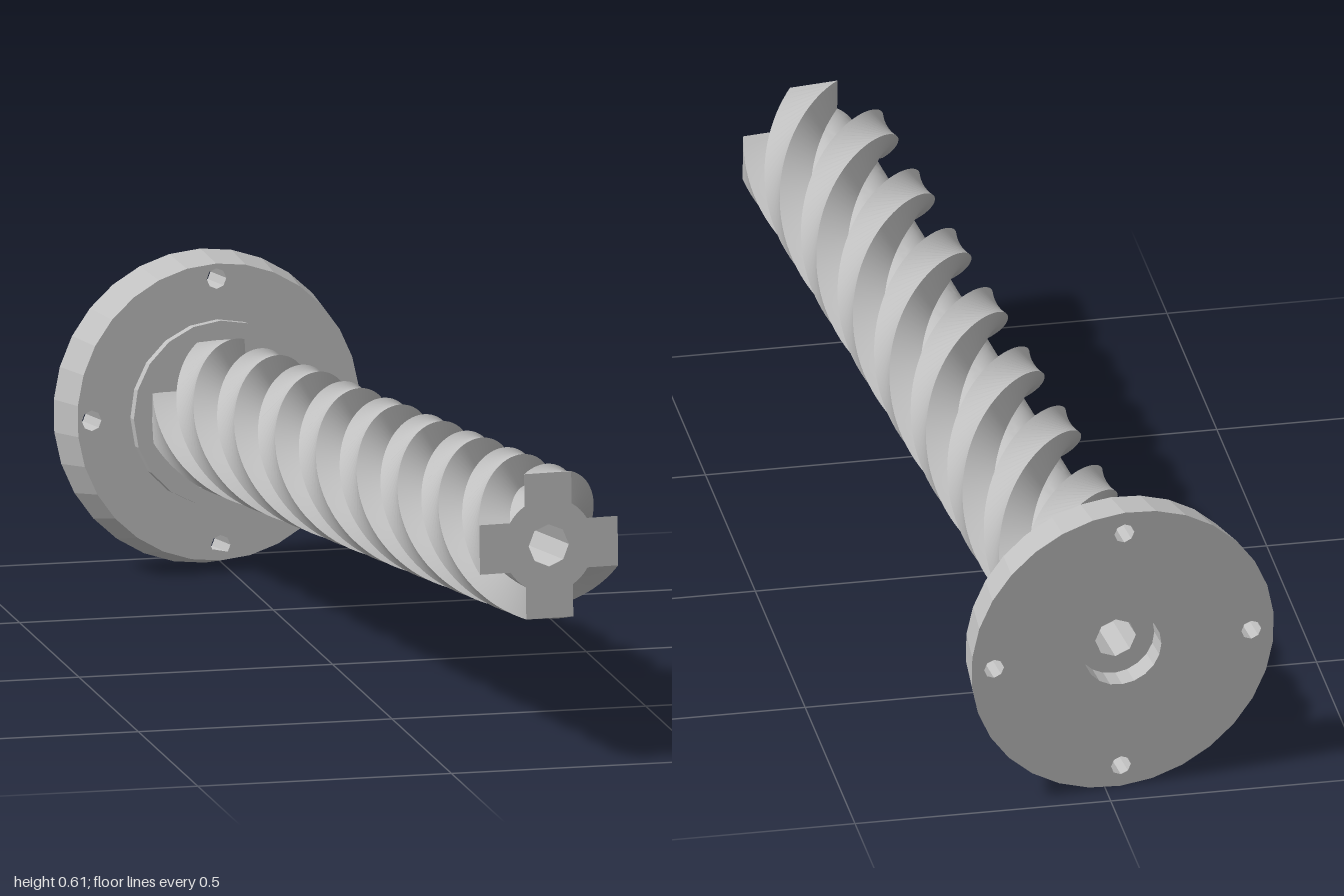
import * as THREE from 'three';
import { toCreasedNormals } from 'three/addons/utils/BufferGeometryUtils.js';

const LENGTH = 1.961;      // back of flange to shaft tip
const FLANGE = 0.09;       // flange thickness
const BOSS = 0.02;         // raised ring height
const BORE_START = 0.045;  // depth of the counterbore

// Regular polygon points around (cx, cy)
function ring(r, n, cx = 0, cy = 0) {
  return Array.from({ length: n }, (_, i) => {
    const a = (i / n) * Math.PI * 2 + Math.PI / 2;
    return new THREE.Vector2(cx + r * Math.cos(a), cy + r * Math.sin(a));
  });
}

function extrude(outline, holes, depth, z, steps = 1) {
  const shape = new THREE.Shape(outline);
  shape.holes = holes.map((h) => new THREE.Path(h));
  const geo = new THREE.ExtrudeGeometry(shape, { depth, steps, bevelEnabled: false });
  return geo.translate(0, 0, z);
}

// Move every vertex by a rule
function deform(geo, rule) {
  const p = geo.attributes.position;
  const v = new THREE.Vector3();
  for (let i = 0; i < p.count; i++) {
    rule(v.fromBufferAttribute(p, i));
    p.setXYZ(i, v.x, v.y, v.z);
  }
  return geo;
}

// Four square lobes joined by arcs of the round core
function lobedSection() {
  const tip = 0.141, half = 0.048, core = 0.092, pts = [];
  const start = Math.asin(half / core);
  for (let k = 0; k < 4; k++) {
    const turn = (k * Math.PI) / 2;
    const add = (x, y) => pts.push(new THREE.Vector2(x, y).rotateAround(new THREE.Vector2(), turn));
    add(tip, -half);
    add(tip, half);
    for (let i = 0; i <= 4; i++) {
      const a = start + (i / 4) * (Math.PI / 2 - 2 * start);
      add(core * Math.cos(a), core * Math.sin(a));
    }
  }
  return pts;
}

export function createModel() {
  const metal = new THREE.MeshStandardMaterial({ color: 0xc0c0c0 });
  metal.name = 'lightGrey';
  const model = new THREE.Group();
  model.name = 'twistedShaft';
  const add = (name, geo, crease) => {
    const mesh = new THREE.Mesh(toCreasedNormals(geo, crease), metal);
    mesh.name = name;
    model.add(mesh);
  };

  // Flange with four bolt holes and a counterbore, rim slightly tapered to the front
  const boltHoles = ring(0.259, 4).map((c) => ring(0.02, 8, c.x, c.y));
  const flange = extrude(ring(0.305, 30), [ring(0.078, 20), ...boltHoles], FLANGE, 0);
  deform(flange, (v) => {
    if (Math.hypot(v.x, v.y) > 0.29 && v.z > 0.01) {
      v.x *= 0.945;
      v.y *= 0.945;
    }
  });
  add('flange', flange, 0.15);

  // Raised ring around the root of the shaft
  add('bossRing', extrude(ring(0.18, 20), [ring(0.08, 20)], BOSS, FLANGE), 0.15);

  // Right-handed four-lobed shaft, two full turns, with a straight central bore
  const root = FLANGE + BOSS;
  const shaft = extrude(lobedSection(), [ring(0.041, 8)], LENGTH - BORE_START, BORE_START, 160);
  const axis = new THREE.Vector3(0, 0, 1);
  deform(shaft, (v) => {
    if (Math.hypot(v.x, v.y) > 0.06) {
      v.applyAxisAngle(axis, (4 * Math.PI * (v.z - root)) / (LENGTH - root));
    }
  });
  add('helicalShaft', shaft, 0.4);

  // Tilt the axis up and to the side
  model.rotation.set(-0.067, 0.116, 0);
  model.position.set(-0.031, 0.307, -0.961);
  const out = new THREE.Group();
  out.name = 'model';
  out.add(model);
  return out;
}
